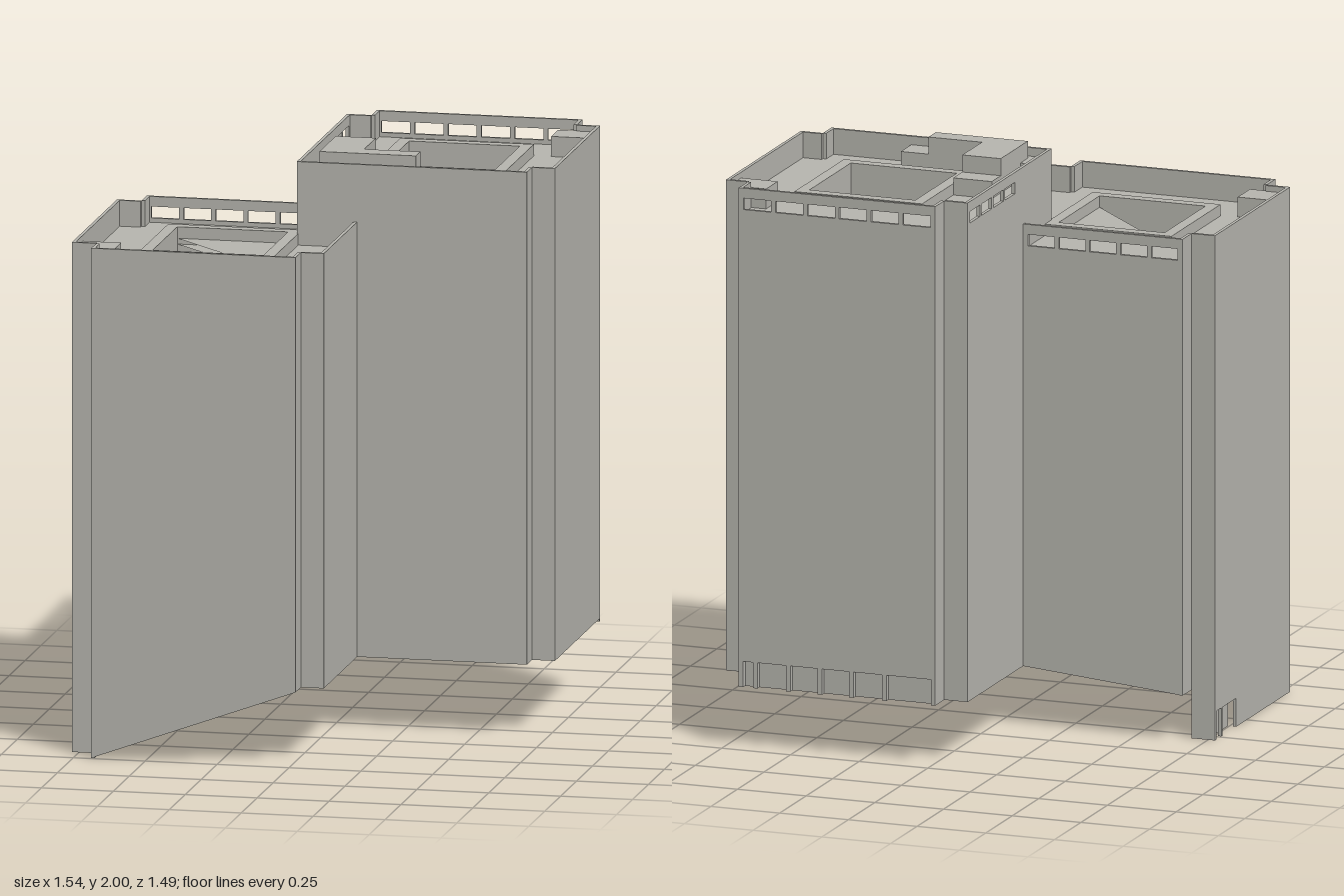
import * as THREE from 'three';

const concrete = new THREE.MeshStandardMaterial({ color: 0xb8b7b0, side: THREE.DoubleSide });
concrete.name = 'concrete grey';
const T = 0.012; // wall thickness

function add(parent, name, geometry) {
  const mesh = new THREE.Mesh(geometry, concrete);
  mesh.name = name;
  parent.add(mesh);
  return mesh;
}

function box(parent, name, x0, x1, y0, y1, z0, z1) {
  const m = add(parent, name, new THREE.BoxGeometry(x1 - x0, y1 - y0, z1 - z0));
  m.position.set((x0 + x1) / 2, (y0 + y1) / 2, (z0 + z1) / 2);
  return m;
}

const rectPath = (x0, x1, y0, y1) => [[x0, y0], [x1, y0], [x1, y1], [x0, y1]].map(p => new THREE.Vector2(...p));

// Upright wall from a to b; its thickness lies to the inside.
// foot lists extra [u, y] points along the bottom edge, from b back to a.
function wall(parent, name, a, b, top, y0, y1, { holes = [], foot = [] } = {}) {
  const dx = b[0] - a[0], dz = b[1] - a[1], len = Math.hypot(dx, dz);
  const pts = [[0, y0], [0, top], [len, top], [len, y1], ...foot];
  const shape = new THREE.Shape(pts.map(p => new THREE.Vector2(...p)));
  holes.forEach(h => shape.holes.push(new THREE.Path(rectPath(...h))));
  const m = add(parent, name, new THREE.ExtrudeGeometry(shape, { depth: T, bevelEnabled: false }));
  m.position.set(a[0], 0, a[1]);
  m.rotation.y = Math.atan2(-dz, dx);
}

// Horizontal plate from a plan outline, hanging down from its top height.
function slab(parent, name, outline, top, depth, hole) {
  const shape = new THREE.Shape(outline.map(p => new THREE.Vector2(p[0], p[1])));
  if (hole) shape.holes.push(new THREE.Path(rectPath(...hole)));
  const m = add(parent, name, new THREE.ExtrudeGeometry(shape, { depth, bevelEnabled: false }));
  m.rotation.x = Math.PI / 2;
  m.position.y = top;
}

// Row of narrow openings just below the parapet top
function slots(start, end, count, top) {
  const step = (end - start) / count;
  return Array.from({ length: count }, (_, i) => {
    const u = start + i * step;
    return [u + 0.008, u + step - 0.008, top - 0.075, top - 0.035];
  });
}

// Deck, light well, inner floor and corner box shared by both towers
function roof(parent, outline, top, well, corner) {
  const [x0, x1, z0, z1] = well, r = 0.04, deck = top - 0.09;
  slab(parent, 'roofDeck', outline, deck, 0.02, well);
  slab(parent, 'lightWell', rectPath(...well).map(v => [v.x, v.y]), deck + 0.04, deck + 0.04 - 0.94,
    [x0 + r, x1 - r, z0 + r, z1 - r]);
  slab(parent, 'innerFloor', outline, 0.95, 0.01);
  box(parent, 'cornerBox', corner[0], corner[1], deck - 0.01, top - 0.02, corner[2], corner[3]);
}

function tallTower() {
  const g = new THREE.Group();
  g.name = 'tallTower';
  const top = 1.97;
  const p = [[-0.025, -0.745], [0.69, -0.745], [0.69, -0.66], [0.77, -0.66], [0.77, 0.05], [0.69, 0.05],
    [0.69, 0.13], [0.1, 0.13], [-0.11, 0.13], [-0.11, -0.135], [-0.11, -0.66], [-0.025, -0.66]];
  // walls over the shared corner only rise from the lower roof
  const bottoms = [0.31, 0.25, 0.25, 0.26, 0.26, 0.26, 0.26, 1.66, 1.66, 0.22, 0.22, 0.22];
  p.forEach((a, i) => {
    const b = p[(i + 1) % p.length];
    let holes = [];
    if (i === 0) holes = slots(0.01, 0.705, 6, top);
    if (i === 9) holes = slots(0.07, 0.51, 4, top);
    wall(g, 'tallTowerWall', a, b, top, bottoms[i], bottoms[i], { holes });
  });
  // recessed base strip with hanging fins
  box(g, 'recessedBase', -0.02, 0.685, 0.22, 0.34, -0.725, -0.715);
  box(g, 'baseSoffit', -0.02, 0.685, 0.31, 0.32, -0.744, -0.715);
  for (const x of [-0.017, 0.16, 0.28, 0.395, 0.51, 0.63, 0.682])
    box(g, 'baseFin', x - 0.008, x + 0.008, 0.22, 0.315, -0.745, -0.72);

  roof(g, p, top, [0.1, 0.565, -0.545, -0.075], [0.625, 0.765, -0.655, -0.545]);
  // low plant blocks and the raised housing
  box(g, 'plantBlock', -0.1, 0.395, 1.87, 1.94, 0.02, 0.12);
  box(g, 'plantBlock', -0.04, 0.1, 1.87, 1.94, -0.25, 0.02);
  box(g, 'roofHousing', -0.04, 0.1, 1.94, 2.0, -0.165, 0.09);
  box(g, 'roofHousing', 0.1, 0.295, 1.94, 2.0, 0.02, 0.09);
  return g;
}

function lowTower() {
  const g = new THREE.Group();
  g.name = 'lowTower';
  const top = 1.77;
  const p = [[0.1, 0.13], [0.1, 0.655], [0.02, 0.655], [0.02, 0.74], [-0.69, 0.74], [-0.69, 0.66],
    [-0.775, 0.66], [-0.775, -0.05], [-0.69, -0.05], [-0.69, -0.135], [-0.11, -0.135]];
  // start and end height of each wall foot, following the sloping ground
  const feet = [[0.26, 0.26], [0.26, 0.26], [0.26, 0.26], [0.26, 0], [0, 0], [0, 0], [0, 0], [0, 0],
    [0.17, 0.17], [0.17, 0.22]];
  feet.forEach(([y0, y1], i) => {
    const opts = {};
    if (i === 9) opts.holes = slots(0.01, 0.57, 5, top);
    // two doorways at the foot of the side wall
    if (i === 6) opts.foot = [[0.7, 0], [0.7, 0.1], [0.65, 0.1], [0.65, 0], [0.64, 0], [0.64, 0.1], [0.51, 0.1], [0.51, 0]];
    wall(g, 'lowTowerWall', p[i], p[i + 1], top, y0, y1, opts);
  });
  box(g, 'doorRecess', -0.745, -0.735, 0, 0.1, -0.045, 0.15);
  box(g, 'doorLintel', -0.765, -0.735, 0.1, 0.106, -0.045, 0.15);

  roof(g, [...p, [-0.11, 0.13]], top, [-0.57, -0.105, 0.07, 0.535], [-0.77, -0.63, 0.54, 0.655]);
  return g;
}

export function createModel() {
  const model = new THREE.Group();
  model.name = 'twinTowerBlock';
  model.add(tallTower(), lowTower());
  return model;
}
